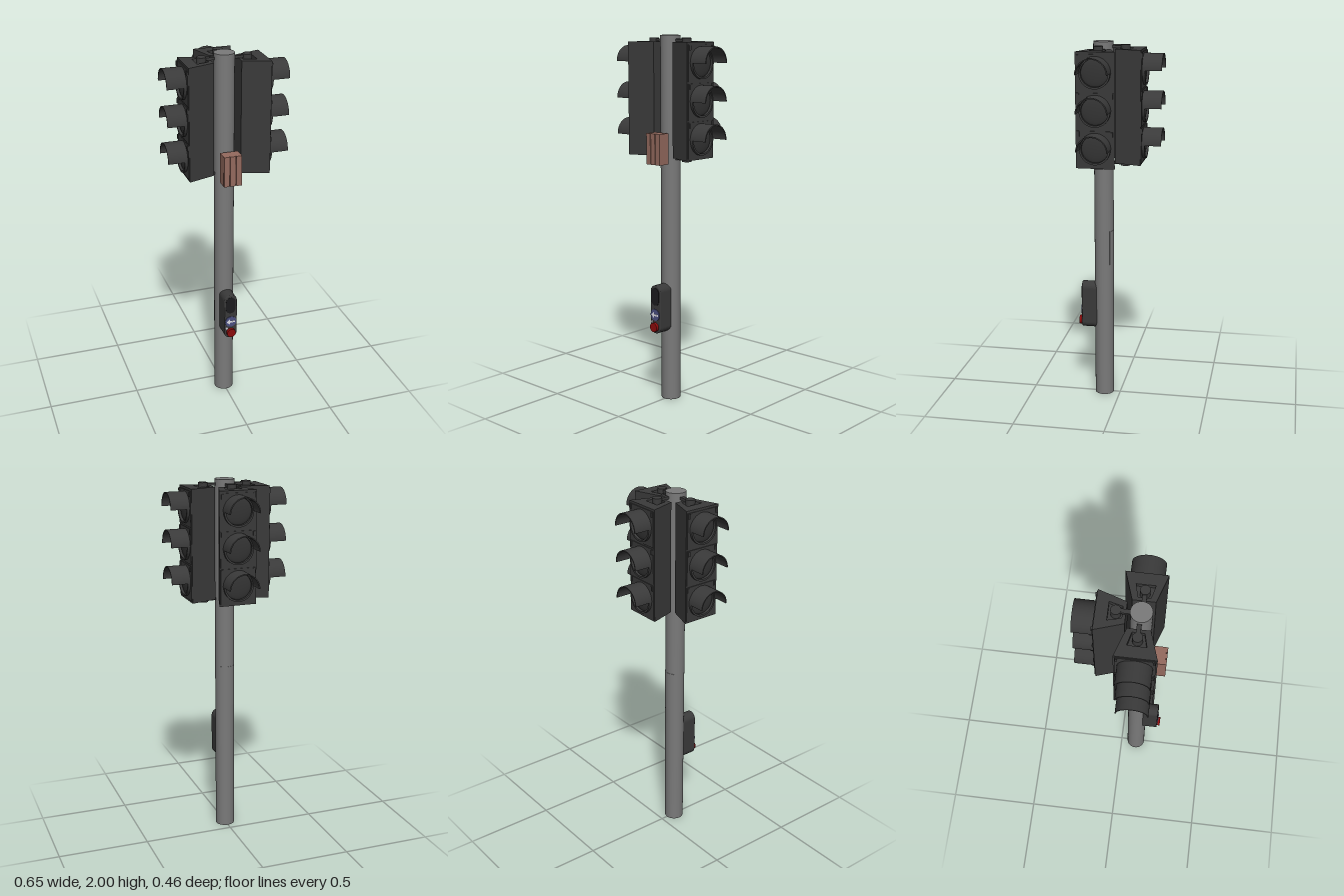
import * as THREE from 'three';

const mat = (color) => new THREE.MeshStandardMaterial({ color, roughness: 0.8 });
const grey = mat(0x7a7a7a);
const dark = mat(0x3a3a3a);
const lensMat = mat(0x343434);
const brown = mat(0x946a5e);
const black = mat(0x1c1c1e);
const red = mat(0x8c0c0c);
const blue = mat(0x4a4f80);
const white = mat(0xdddde6);

const POLE_Z = 0.09;
const POLE_R = 0.053;

function add(parent, name, geometry, material, x = 0, y = 0, z = 0) {
  const mesh = new THREE.Mesh(geometry, material);
  mesh.name = name;
  mesh.position.set(x, y, z);
  parent.add(mesh);
  return mesh;
}

const box = (w, h, d) => new THREE.BoxGeometry(w, h, d);
const disc = (r, d) => new THREE.CylinderGeometry(r, r, d, 32).rotateX(Math.PI / 2);
const extrude = (shape, depth) =>
  new THREE.ExtrudeGeometry(shape, { depth, bevelEnabled: false, curveSegments: 24 });

// Plan outline of a wedge: half width w0 at distance d0, w1 at distance d1
const wedge = (w0, d0, w1, d1) => [
  new THREE.Vector2(-w0, -d0), new THREE.Vector2(-w1, -d1),
  new THREE.Vector2(w1, -d1), new THREE.Vector2(w0, -d0),
];

// Ring or half ring in the xy plane
function ringShape(outer, inner, half) {
  const s = new THREE.Shape();
  if (half) {
    s.absarc(0, 0, outer, 0, Math.PI, false);
    s.absarc(0, 0, inner, Math.PI, 0, true);
    s.closePath();
  } else {
    s.absarc(0, 0, outer, 0, Math.PI * 2, false);
    s.holes.push(new THREE.Path().absarc(0, 0, inner, 0, Math.PI * 2, true));
  }
  return s;
}

// Signal head facing +z, with the pole axis at the origin
function signalHead() {
  const head = new THREE.Group();
  head.name = 'signalHead';
  const y0 = 1.36, y1 = 1.965, lip = 0.025;

  // Wedge housing with a shallow pocket in each end
  const solid = new THREE.Shape(wedge(0.056, 0.072, 0.103, 0.216));
  const rim = new THREE.Shape(wedge(0.056, 0.072, 0.103, 0.216));
  rim.holes.push(new THREE.Path(wedge(0.03, 0.089, 0.047, 0.156)));
  const slab = (shape, depth) => extrude(shape, depth).rotateX(-Math.PI / 2);
  add(head, 'housing', slab(solid, y1 - y0 - 2 * lip), dark, 0, y0 + lip);
  add(head, 'topRim', slab(rim, lip), dark, 0, y1 - lip);
  add(head, 'bottomRim', slab(rim, lip), dark, 0, y0);

  // Mounting brackets above and below
  for (const [edge, dir] of [[y1, 1], [y0, -1]]) {
    add(head, 'bracketStud', new THREE.CylinderGeometry(0.025, 0.025, 0.045, 24), dark,
      0, edge - dir * 0.0025, 0.12);
    add(head, 'bracketArm', box(0.022, 0.014, 0.085), dark, 0, edge + dir * 0.008, 0.08);
  }

  // Three lamps, each with door, bezel, lens and visor
  for (const y of [1.859, 1.662, 1.465]) {
    add(head, 'door', box(0.194, 0.188, 0.008), dark, 0, y, 0.216);
    for (const s of [-1, 1]) {
      add(head, 'doorLatch', box(0.012, 0.025, 0.012), dark, s * 0.088, y + 0.078, 0.219);
    }
    add(head, 'bezel', extrude(ringShape(0.082, 0.072), 0.018), dark, 0, y, 0.217);
    const lens = new THREE.SphereGeometry(0.073, 32, 8, 0, Math.PI * 2, 0, Math.PI / 2);
    add(head, 'lens', lens.rotateX(Math.PI / 2).scale(1, 1, 0.16), lensMat, 0, y, 0.219);
    add(head, 'visor', extrude(ringShape(0.084, 0.078, true), 0.105), dark, 0, y, 0.218);
  }
  return head;
}

// Pedestrian push button unit
function pushButtonUnit() {
  const unit = new THREE.Group();
  unit.name = 'pushButtonUnit';
  const capsule = (r, h) => {
    const s = new THREE.Shape();
    s.absarc(0, h, r, 0, Math.PI, false);
    s.absarc(0, -h, r, Math.PI, Math.PI * 2, false);
    s.closePath();
    return s;
  };
  const shell = new THREE.ExtrudeGeometry(capsule(0.032, 0.098), {
    depth: 0.084, bevelThickness: 0.005, bevelSize: 0.005, bevelSegments: 3, curveSegments: 16,
  });
  add(unit, 'buttonHousing', shell, dark, 0, 0.53, 0.125);
  add(unit, 'displayPanel', extrude(capsule(0.027, 0.022), 0.003), black, 0, 0.602, 0.213);
  add(unit, 'signDisc', disc(0.032, 0.006), blue, 0, 0.5, 0.215);
  add(unit, 'pressButton', disc(0.025, 0.02), red, 0, 0.432, 0.221);
  add(unit, 'indicator', disc(0.006, 0.006), white, -0.024, 0.46, 0.215);
  const arrow = new THREE.Shape([
    [-0.025, 0], [-0.005, 0.018], [-0.005, 0.005], [0.024, 0.005],
    [0.024, -0.005], [-0.005, -0.005], [-0.005, -0.018],
  ].reverse().map(([x, y]) => new THREE.Vector2(x, y)));
  add(unit, 'arrow', extrude(arrow, 0.002), white, 0, 0.5, 0.218);
  return unit;
}

export function createModel() {
  const model = new THREE.Group();
  model.name = 'trafficLight';

  // Pole with a curved access hatch at the back
  add(model, 'pole', new THREE.CylinderGeometry(POLE_R, POLE_R, 2, 40), grey, 0, 1, POLE_Z);
  const r = POLE_R + 0.0015;
  const hatch = new THREE.Shape();
  hatch.absarc(0, 0, r, Math.PI / 4, Math.PI * 3 / 4, false);
  hatch.absarc(0, 0, POLE_R - 0.003, Math.PI * 3 / 4, Math.PI / 4, true);
  hatch.closePath();
  add(model, 'accessHatch', extrude(hatch, 0.23).rotateX(-Math.PI / 2), grey, 0, 0.74, POLE_Z);

  // Signal heads on three sides
  for (const angle of [Math.PI / 2, Math.PI, -Math.PI / 2]) {
    const mount = new THREE.Group();
    mount.name = 'headMount';
    const head = signalHead();
    head.position.x = -0.004;
    mount.add(head);
    mount.position.z = POLE_Z;
    mount.rotation.y = angle;
    model.add(mount);
  }

  // Control box with a ribbed front, held by a short bracket
  const control = new THREE.Group();
  control.name = 'controlBox';
  add(control, 'controlBoxBody', box(0.096, 0.165, 0.06), brown, 0, 0, -0.004);
  for (const x of [-0.033, 0, 0.033]) {
    add(control, 'controlBoxRib', box(0.029, 0.165, 0.01), brown, x, 0, 0.03);
  }
  add(control, 'controlBoxBracket', box(0.02, 0.12, 0.03), brown, 0, 0, -0.046);
  control.position.set(0.003, 1.408, 0.195);
  model.add(control);

  model.add(pushButtonUnit());
  return model;
}
